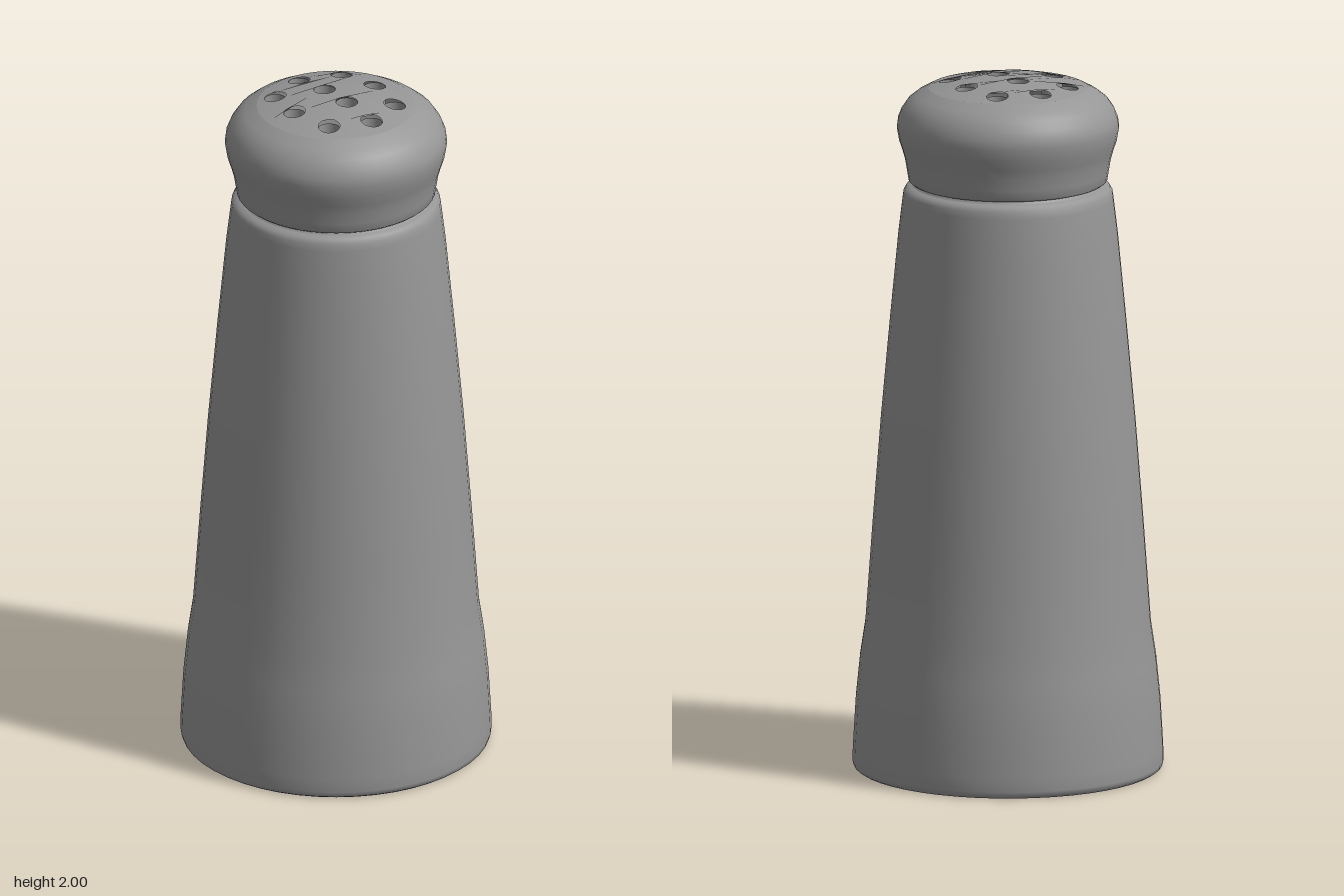
import * as THREE from 'three';

const SEGMENTS = 48;
const DOME_RADIUS = 0.225;
const HOLE_RADIUS = 0.031;
const HOLE_DEPTH = 0.05;

// Height of the gently curved cap top at a distance from the axis
const domeHeight = (r) => 2 - 0.62 * r * r;

function lathe(name, points, material) {
  const profile = points.map(([r, y]) => new THREE.Vector2(r, y));
  const mesh = new THREE.Mesh(new THREE.LatheGeometry(profile, SEGMENTS), material);
  mesh.name = name;
  return mesh;
}

function circlePoints(cx, cy, radius, count) {
  return Array.from({ length: count }, (_, i) => {
    const a = (i / count) * Math.PI * 2;
    return new THREE.Vector2(cx + Math.cos(a) * radius, cy + Math.sin(a) * radius);
  });
}

export function createModel() {
  const group = new THREE.Group();
  group.name = 'shaker';
  const grey = new THREE.MeshStandardMaterial({ color: 0x969696, side: THREE.DoubleSide });
  grey.name = 'grey';
  const dark = new THREE.MeshStandardMaterial({ color: 0x161616 });
  dark.name = 'holeDark';

  // Flat base
  const base = new THREE.Mesh(new THREE.CircleGeometry(0.428, SEGMENTS), grey);
  base.name = 'base';
  base.rotation.x = Math.PI / 2;
  base.position.y = 0.001;
  group.add(base);

  // Tapered body with softly rounded lower and upper rims
  group.add(lathe('body', [
    [0.428, 0], [0.437, 0.006], [0.441, 0.02], [0.44, 0.06], [0.432, 0.2],
    [0.42, 0.32], [0.405, 0.42], [0.385, 0.7], [0.362, 1], [0.335, 1.3],
    [0.311, 1.55], [0.299, 1.65], [0.296, 1.67], [0.288, 1.683], [0.272, 1.688],
  ], grey));

  // Narrow seam between body and cap
  group.add(lathe('neck', [[0.275, 1.686], [0.262, 1.69], [0.262, 1.705]], grey));

  // Cap: skirt, waist, bulge and shoulder
  group.add(lathe('cap', [
    [0.255, 1.697], [0.274, 1.697], [0.282, 1.704], [0.286, 1.73], [0.292, 1.765],
    [0.299, 1.79], [0.309, 1.82], [0.315, 1.855], [0.312, 1.88], [0.302, 1.905],
    [0.285, 1.93], [0.26, 1.95], [DOME_RADIUS, domeHeight(DOME_RADIUS)],
  ], grey));

  // Hole layout on the cap top
  const holes = [[0, -0.17], [0, -0.053], [0, 0.05], [0, 0.165]];
  for (const s of [-1, 1]) {
    holes.push([s * 0.118, -0.128], [s * 0.143, -0.006], [s * 0.117, 0.12]);
  }

  // Perforated top, bent to the dome curve
  const shape = new THREE.Shape(circlePoints(0, 0, DOME_RADIUS, SEGMENTS));
  for (const [x, z] of holes) {
    shape.holes.push(new THREE.Path(circlePoints(x, -z, HOLE_RADIUS, 16).reverse()));
  }
  const topGeometry = new THREE.ShapeGeometry(shape);
  topGeometry.rotateX(-Math.PI / 2);
  const pos = topGeometry.attributes.position;
  const normal = new THREE.Vector3();
  for (let i = 0; i < pos.count; i++) {
    const x = pos.getX(i), z = pos.getZ(i);
    pos.setY(i, domeHeight(Math.hypot(x, z)));
    normal.set(1.24 * x, 1, 1.24 * z).normalize();
    topGeometry.attributes.normal.setXYZ(i, normal.x, normal.y, normal.z);
  }
  const top = new THREE.Mesh(topGeometry, grey);
  top.name = 'capTop';
  group.add(top);

  // Pouring holes: short walls with dark floors
  const wallGeometry = new THREE.CylinderGeometry(HOLE_RADIUS, HOLE_RADIUS, HOLE_DEPTH, 16, 1, true);
  const floorGeometry = new THREE.CircleGeometry(HOLE_RADIUS, 16).rotateX(-Math.PI / 2);
  for (const [x, z] of holes) {
    const rim = domeHeight(Math.hypot(x, z) + HOLE_RADIUS);
    const hole = new THREE.Group();
    hole.name = 'pouringHole';
    const wall = new THREE.Mesh(wallGeometry, grey);
    wall.name = 'holeWall';
    wall.position.y = -HOLE_DEPTH / 2;
    const floor = new THREE.Mesh(floorGeometry, dark);
    floor.name = 'holeFloor';
    floor.position.y = -HOLE_DEPTH + 0.001;
    hole.add(wall, floor);
    hole.position.set(x, rim, z);
    group.add(hole);
  }
  return group;
}
